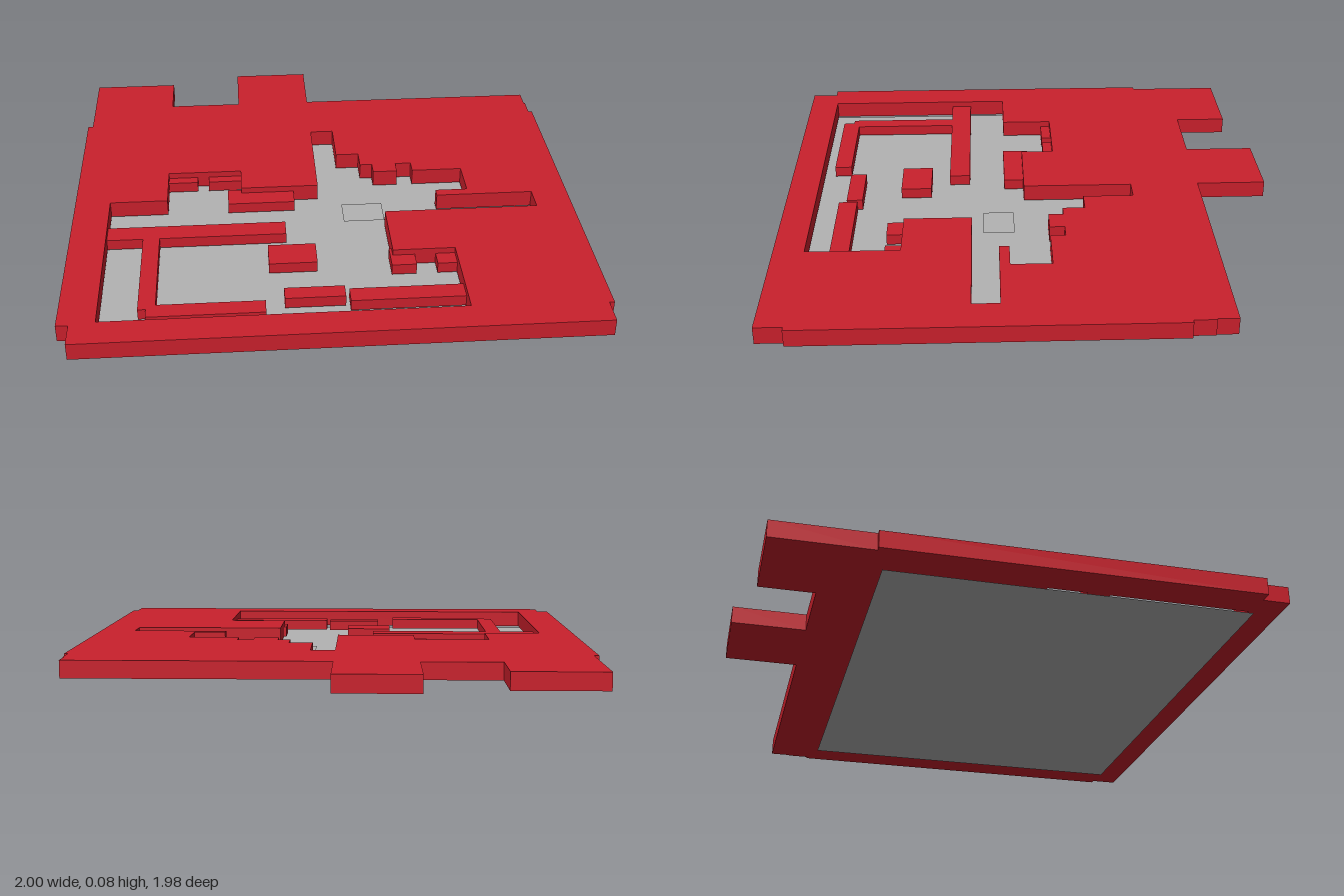
import * as THREE from 'three';

const TOP = 0.077, BASE = 0.01, BLOCK_TOP = 0.053;

const toPoints = (list) => list.map(([x, z]) => new THREE.Vector2(x, z));

export function createModel() {
  const model = new THREE.Group();
  model.name = 'floorPlan';
  const red = new THREE.MeshStandardMaterial({ name: 'red', color: 0xca202c });
  const grey = new THREE.MeshStandardMaterial({ name: 'grey', color: 0xb3b3b3, side: THREE.DoubleSide });

  const add = (name, geometry, material) => {
    const mesh = new THREE.Mesh(geometry, material);
    mesh.name = name;
    model.add(mesh);
    return mesh;
  };

  // Solid slab, outlined in x and z, with the rooms cut out of it
  const outline = new THREE.Shape(toPoints([
    [-0.98, -0.92], [-0.63, -0.92], [-0.63, -0.71], [-0.33, -0.71], [-0.33, -0.99],
    [-0.015, -0.99], [-0.015, -0.71], [0.98, -0.71], [0.98, -0.63], [0.985, -0.63],
    [0.985, -0.545], [1, -0.545], [1, 0.88], [0.98, 0.88], [0.98, 0.985],
    [-0.955, 0.985], [-0.955, 0.88], [-1, 0.88], [-1, -0.545], [-0.98, -0.545],
  ]));
  outline.holes.push(new THREE.Path(toPoints([
    [-0.86, 0.09], [-0.63, 0.09], [-0.63, -0.12], [-0.33, -0.12], [-0.33, 0.015],
    [-0.015, 0.015], [-0.015, -0.43], [0.08, -0.43], [0.08, -0.225], [0.175, -0.225],
    [0.175, -0.135], [0.225, -0.135], [0.225, -0.075], [0.325, -0.075], [0.325, -0.135],
    [0.39, -0.135], [0.39, -0.075], [0.595, -0.075], [0.595, 0.085], [0.465, 0.085],
    [0.465, 0.125], [0.855, 0.125], [0.855, 0.23], [0.24, 0.23], [0.24, 0.5],
    [0.48, 0.5], [0.48, 0.865], [-0.86, 0.865],
  ])));
  const slab = new THREE.ExtrudeGeometry(outline, { depth: TOP - BASE, bevelEnabled: false });
  slab.rotateX(Math.PI / 2).translate(0, TOP, 0);
  add('slab', slab, red);

  // Lower walls and blocks inside the rooms: x0, z0, x1, z1
  [
    ['ledgeLeft', -0.63, -0.12, -0.51, -0.08],
    ['ledgeRight', -0.465, -0.12, -0.33, -0.08],
    ['cornerBlock', -0.385, -0.01, -0.115, 0.095],
    ['longWall', -0.86, 0.24, -0.16, 0.325],
    ['sideWall', -0.72, 0.325, -0.655, 0.775],
    ['frontWall', -0.69, 0.75, -0.255, 0.82],
    ['frontBlock', -0.185, 0.68, 0.04, 0.745],
    ['frontRightWall', 0.055, 0.7, 0.48, 0.775],
    ['centreBlock', -0.235, 0.4, -0.05, 0.525],
    ['doorPostLeft', 0.23, 0.455, 0.325, 0.565],
    ['doorPostRight', 0.405, 0.49, 0.48, 0.565],
  ].forEach(([name, x0, z0, x1, z1]) => {
    const box = new THREE.BoxGeometry(x1 - x0, BLOCK_TOP - BASE, z1 - z0);
    add(name, box, red).position.set((x0 + x1) / 2, (BLOCK_TOP + BASE) / 2, (z0 + z1) / 2);
  });

  // Flat floor sheet and the small marker sheet lying on it
  const addSheet = (name, x0, z0, x1, z1, y) => {
    const sheet = new THREE.PlaneGeometry(x1 - x0, z1 - z0).rotateX(-Math.PI / 2);
    add(name, sheet, grey).position.set((x0 + x1) / 2, y, (z0 + z1) / 2);
  };
  addSheet('floor', -0.87, -0.51, 0.865, 0.88, 0);
  addSheet('floorMarker', 0.08, 0.06, 0.245, 0.185, 0.006);

  return model;
}
